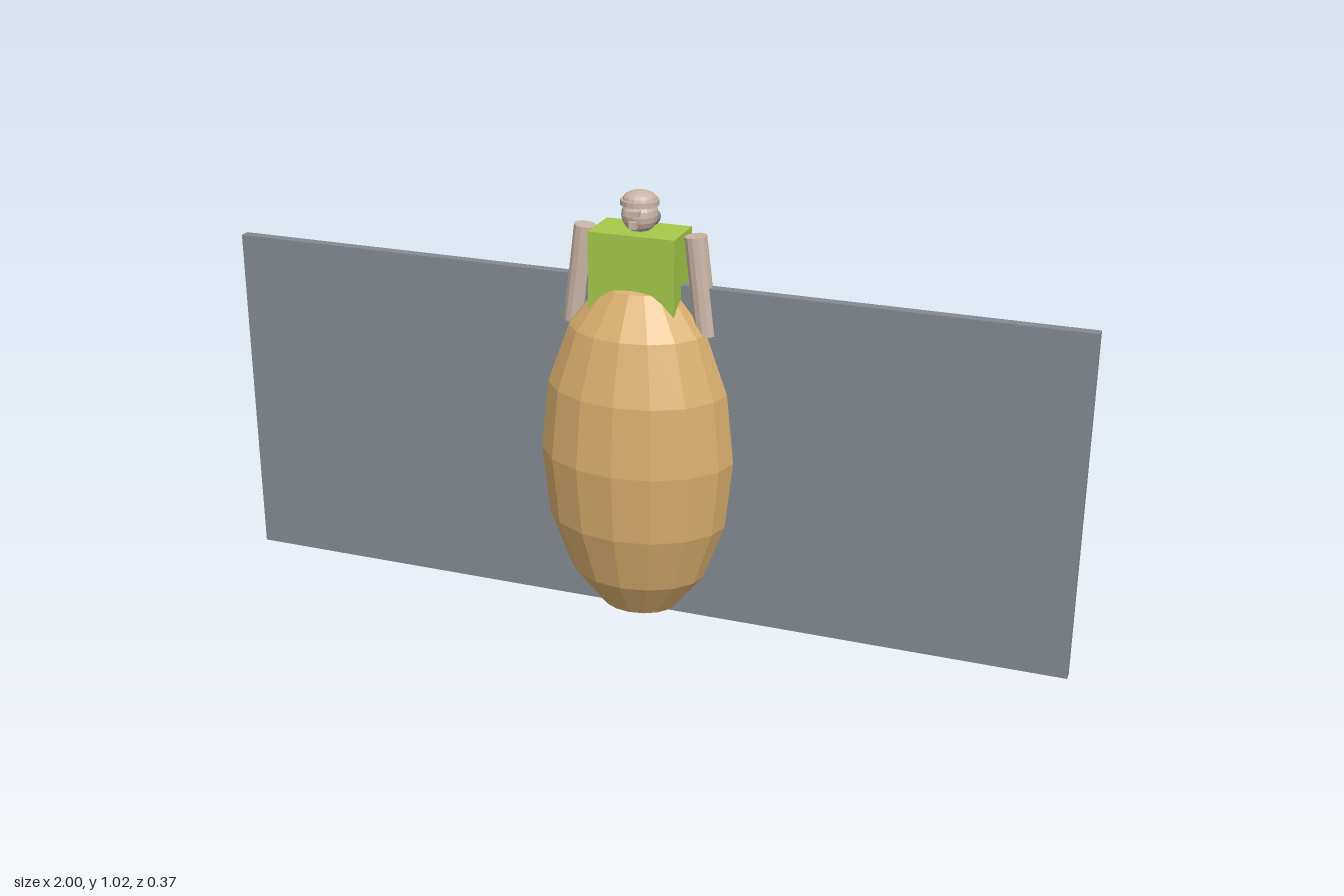
import * as THREE from 'three';

const paint = (name, color, flat = true) => {
  const m = new THREE.MeshStandardMaterial({ color, flatShading: flat });
  m.name = name;
  return m;
};

export function createModel() {
  const group = new THREE.Group();
  const tan = paint('tan', 0xd9ae6e);
  const green = paint('green', 0xa4c94a);
  const beige = paint('beige', 0xcbb5a6);
  const gray = paint('gray', 0x848a92);

  const add = (name, geometry, material, x, y, z) => {
    const mesh = new THREE.Mesh(geometry, material);
    mesh.name = name;
    mesh.position.set(x, y, z);
    group.add(mesh);
    return mesh;
  };

  // Faceted egg-shaped body
  const body = new THREE.SphereGeometry(1, 16, 8).scale(0.23, 0.42, 0.185);
  add('body', body, tan, 0, 0.42, 0);

  // One thin slab forms both wings
  add('wings', new THREE.BoxGeometry(2, 0.8, 0.024), gray, 0, 0.423, 0);

  // Torso sunk into the top of the body
  add('torso', new THREE.BoxGeometry(0.2, 0.2, 0.116), green, 0, 0.838, 0);

  // Arms spread slightly outward toward the hands
  for (const [side, name] of [[1, 'leftArm'], [-1, 'rightArm']]) {
    const arm = add(name, new THREE.CylinderGeometry(0.025, 0.026, 0.225, 12), beige, side * 0.142, 0.824, 0);
    arm.rotation.z = side * 0.12;
  }

  // Head, cap with domed crown, and hair at the back
  add('head', new THREE.SphereGeometry(0.041, 16, 10), beige, 0, 0.972, 0);
  add('capBand', new THREE.CylinderGeometry(0.043, 0.043, 0.012, 16), beige, 0, 1.0, 0);
  const crown = new THREE.SphereGeometry(1, 16, 5, 0, Math.PI * 2, 0, Math.PI / 2).scale(0.038, 0.019, 0.038);
  add('capCrown', crown, beige, 0, 1.006, 0);
  const hair = new THREE.SphereGeometry(1, 16, 10).scale(0.042, 0.025, 0.029);
  add('hair', hair, gray, 0, 0.963, -0.017);

  // Small facial features
  add('brow', new THREE.BoxGeometry(0.03, 0.012, 0.02), beige, 0, 0.984, 0.041);
  add('nose', new THREE.BoxGeometry(0.016, 0.016, 0.02), beige, 0, 0.957, 0.039);

  return group;
}
